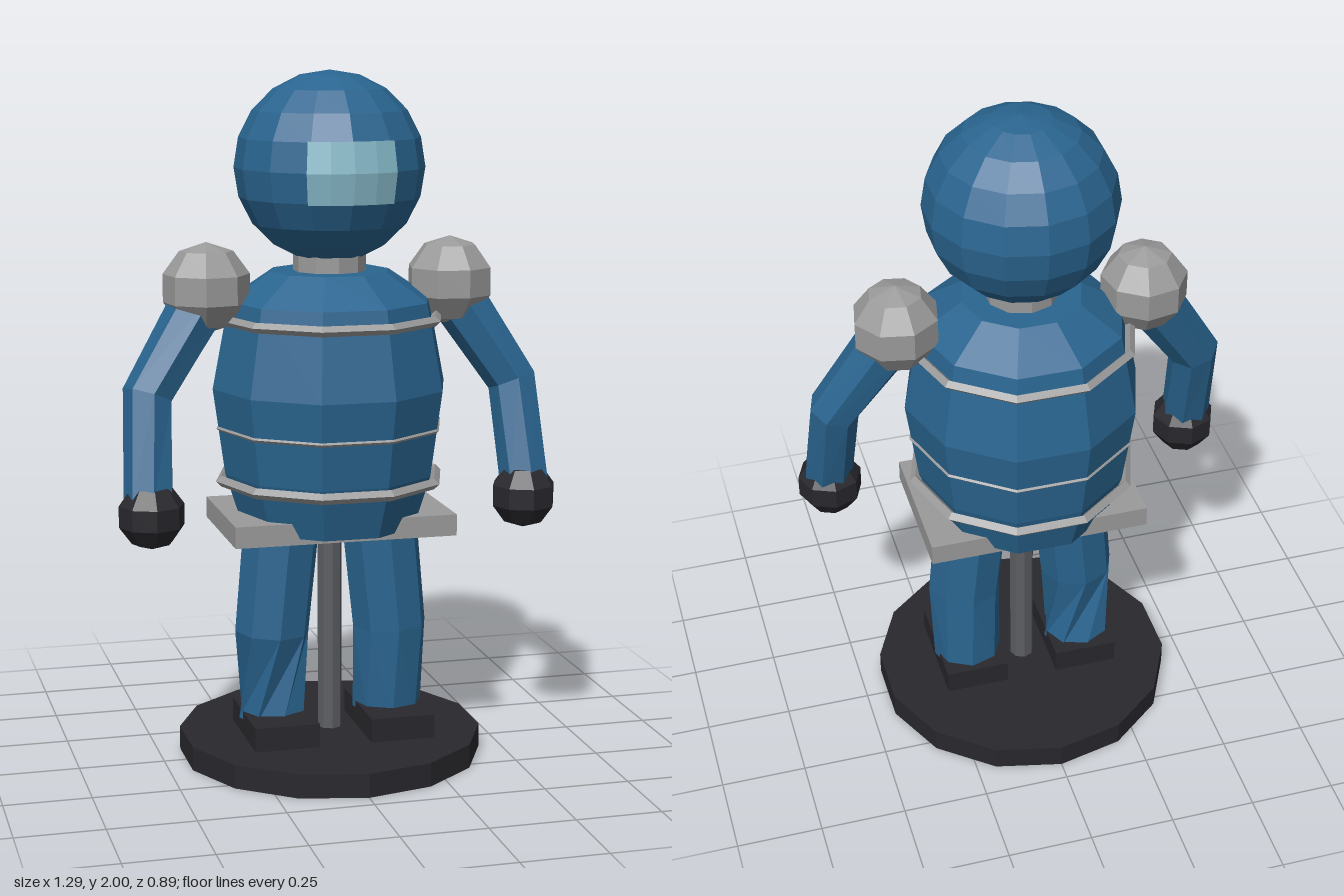
import * as THREE from 'three';

const BLUE = 0x2a6590, GREY = 0x9a9a9a, DARK = 0x28282d, STEEL = 0x5c5e62, GLASS = 0x86b8c8;

function add(parent, name, geometry, color, x = 0, y = 0, z = 0) {
  const material = new THREE.MeshStandardMaterial({ color, flatShading: true });
  const mesh = new THREE.Mesh(geometry, material);
  mesh.name = name;
  mesh.position.set(x, y, z);
  parent.add(mesh);
  return mesh;
}

// Closed faceted tube through rings [x, y, z, radius, twist]
function limb(rings, sides) {
  const centres = rings.map(r => new THREE.Vector3(r[0], r[1], r[2]));
  const pos = [], index = [], last = rings.length - 1;
  rings.forEach(([, , , radius, twist = 0], i) => {
    const t = centres[Math.min(i + 1, last)].clone().sub(centres[Math.max(i - 1, 0)]).normalize();
    const u = new THREE.Vector3(0, 0, 1).addScaledVector(t, -t.z).normalize();
    const v = t.clone().cross(u);
    for (let j = 0; j < sides; j++) {
      const a = twist + j / sides * Math.PI * 2;
      const p = centres[i].clone().addScaledVector(u, Math.cos(a) * radius).addScaledVector(v, Math.sin(a) * radius);
      pos.push(p.x, p.y, p.z);
    }
  });
  const start = pos.length / 3, end = start + 1;
  pos.push(...centres[0].toArray(), ...centres[last].toArray());
  for (let j = 0; j < sides; j++) {
    const k = (j + 1) % sides;
    for (let i = 0; i < last; i++) {
      const a = i * sides + j, b = i * sides + k;
      index.push(a, b, b + sides, a, b + sides, a + sides);
    }
    index.push(start, k, j, end, last * sides + j, last * sides + k);
  }
  const g = new THREE.BufferGeometry();
  g.setAttribute('position', new THREE.Float32BufferAttribute(pos, 3));
  g.setIndex(index);
  g.computeVertexNormals();
  return g;
}

export function createModel() {
  const model = new THREE.Group();
  model.name = 'figure';

  // Display stand
  add(model, 'standBase', new THREE.CylinderGeometry(0.445, 0.445, 0.07, 14), DARK, 0, 0.035);
  add(model, 'standPole', new THREE.CylinderGeometry(0.036, 0.036, 0.65, 8), STEEL, 0, 0.39);

  // Ten-sided body with hoops
  const profile = [[0, 0.695], [0.26, 0.695], [0.31, 0.85], [0.345, 1.1], [0.297, 1.35], [0.175, 1.432], [0, 1.432]];
  const torso = new THREE.LatheGeometry(profile.map(p => new THREE.Vector2(...p)), 10);
  add(model, 'torso', torso.rotateY(Math.PI / 10), BLUE);
  for (const [y, radius, tube] of [[1.3, 0.322, 0.015], [0.985, 0.327, 0.008], [0.83, 0.322, 0.016]])
    add(model, 'bodyHoop', new THREE.TorusGeometry(radius, tube, 4, 10).rotateX(Math.PI / 2), GREY, 0, y);
  add(model, 'hipPlate', new THREE.BoxGeometry(0.65, 0.062, 0.41), GREY, 0, 0.709);

  // Neck, helmet and visor
  add(model, 'neck', new THREE.CylinderGeometry(0.105, 0.105, 0.12, 10), GREY, 0, 1.45);
  add(model, 'helmet', new THREE.SphereGeometry(0.273, 14, 10).rotateY(Math.PI / 2), BLUE, 0, 1.727);
  const lat = Math.PI / 10, lon = Math.PI / 6.6;
  add(model, 'visor', new THREE.SphereGeometry(0.282, 4, 2, Math.PI / 2 - lon, 2 * lon, Math.PI / 2 - lat, 2 * lat),
    GLASS, 0, 1.727).material.side = THREE.DoubleSide;

  // Paired limbs
  for (const [s, side] of [[1, 'left'], [-1, 'right']]) {
    add(model, side + 'ShoulderPad', new THREE.SphereGeometry(0.13, 8, 5).rotateY(s * 0.2), GREY, s * 0.36, 1.392);
    add(model, side + 'Arm', limb([
      [s * 0.555, 0.81, 0.13, 0.072],
      [s * 0.54, 1.1, 0.05, 0.074],
      [s * 0.36, 1.38, 0, 0.085]], 7), BLUE);
    add(model, side + 'Hand', new THREE.SphereGeometry(0.098, 8, 5), DARK, s * 0.55, 0.773, 0.135);
    add(model, side + 'Leg', limb([
      [s * 0.175, 0.12, 0, 0.102, s * 0.7],
      [s * 0.178, 0.38, 0.015, 0.11],
      [s * 0.15, 0.67, 0.013, 0.113],
      [s * 0.14, 0.77, 0.013, 0.113]], 8), BLUE);
    add(model, side + 'Boot', new THREE.BoxGeometry(0.19, 0.07, 0.31), DARK, s * 0.173, 0.105, 0.035);
  }
  return model;
}
